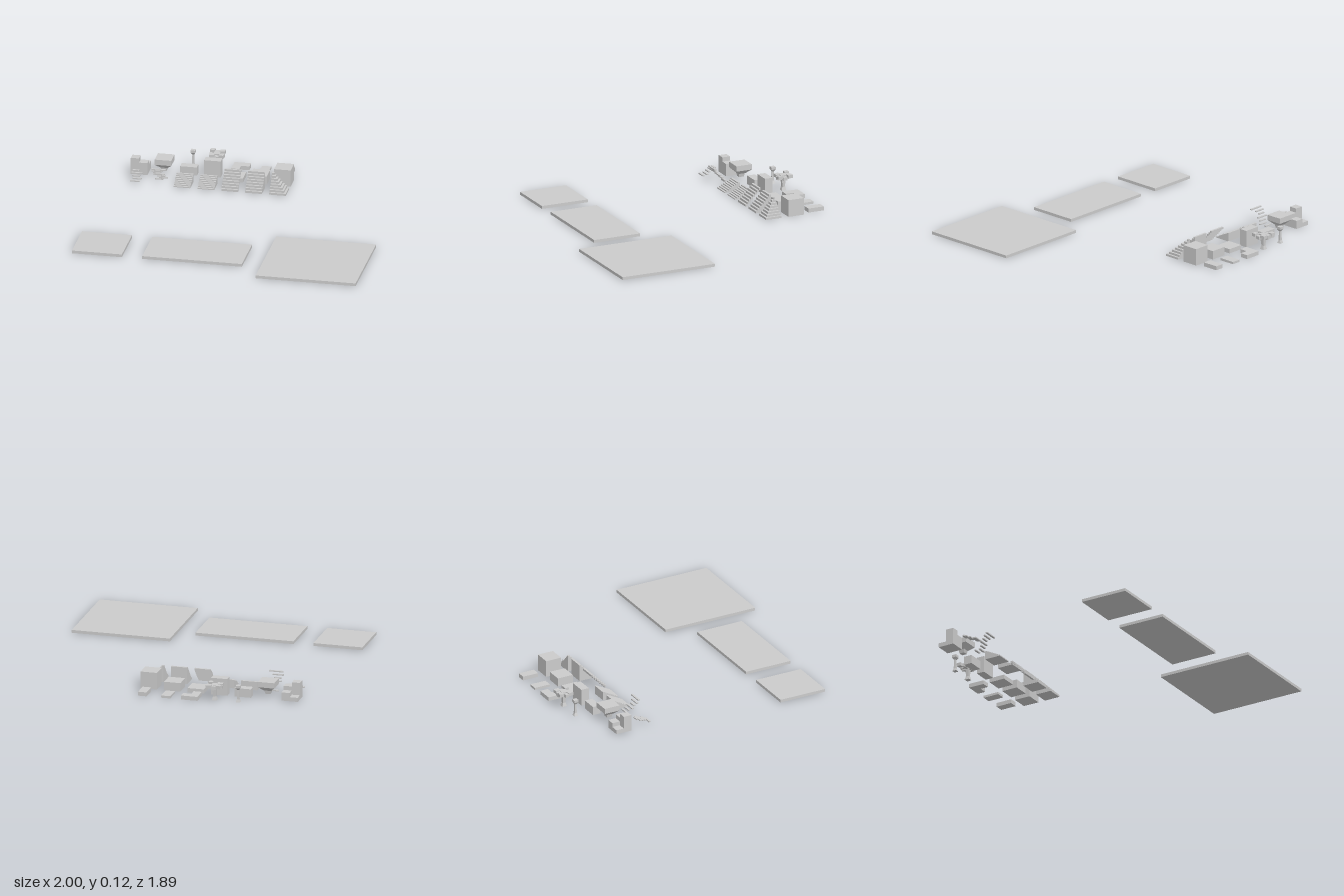
import * as THREE from 'three';

const U = 0.115;           // tile size
const H = U / 2;
const COL = i => -0.83 + 0.165 * i;
const ROW = { front: -0.558, middle: -0.725, back: -0.888 };

export function createModel() {
  const model = new THREE.Group();
  const mat = new THREE.MeshStandardMaterial({ color: 0xcccccc, flatShading: true });

  // named group standing at a tile centre
  function tile(name, x, z) {
    const g = new THREE.Group();
    g.name = name;
    g.position.set(x, 0, z);
    model.add(g);
    return g;
  }
  function add(g, name, geo) {
    const m = new THREE.Mesh(geo, mat);
    m.name = name;
    g.add(m);
    return m;
  }
  // box from its lower and upper corners
  function box(g, name, x0, x1, y0, y1, z0, z1) {
    const m = add(g, name, new THREE.BoxGeometry(x1 - x0, y1 - y0, z1 - z0));
    m.position.set((x0 + x1) / 2, (y0 + y1) / 2, (z0 + z1) / 2);
    return m;
  }
  // square frustum
  function frustum(g, name, wTop, wBottom, y0, y1) {
    const geo = new THREE.CylinderGeometry(wTop * Math.SQRT1_2, wBottom * Math.SQRT1_2, y1 - y0, 4);
    geo.rotateY(Math.PI / 4);
    add(g, name, geo).position.y = (y0 + y1) / 2;
  }

  // floor slabs
  const slabs = [
    ['smallFloor', -1, -0.655, 0.422, 0.766],
    ['longFloor', -0.515, 0.174, 0.422, 0.766],
    ['largeFloor', 0.306, 0.996, 0.25, 0.942],
  ];
  for (const [name, x0, x1, z0, z1] of slabs) {
    box(tile(name, 0, 0), name, x0, x1, 0, 0.02, z0, z1);
  }

  // straight stairs climbing to the back, extruded from a stepped profile
  function stairs(name, x, height, steps, open) {
    const d = U / steps, h = height / steps;
    const s = new THREE.Shape();
    s.moveTo(-H, 0);
    for (let i = 0; i < steps; i++) {
      s.lineTo(-H + i * d, (i + 1) * h);
      s.lineTo(-H + (i + 1) * d, (i + 1) * h);
    }
    if (open) {
      for (let i = steps - 1; i > 0; i--) {
        s.lineTo(-H + (i + 1) * d, i * h);
        s.lineTo(-H + i * d, i * h);
      }
      s.lineTo(-H + d, 0);
    } else s.lineTo(H, 0);
    const geo = new THREE.ExtrudeGeometry(s, { depth: U, bevelEnabled: false });
    geo.translate(0, 0, -H).rotateY(Math.PI / 2);
    add(tile(name, x, ROW.front), 'steps', geo);
  }
  stairs('lowStairs', COL(2), 0.06, 8, false);
  stairs('lowStairsPair', COL(3), 0.06, 8, false);
  stairs('openStairs', COL(4), 0.118, 8, true);
  stairs('solidStairs', COL(5), 0.118, 8, false);

  // outer corner stairs, tallest at the back right corner
  const corner = tile('cornerStairs', COL(6), ROW.front);
  for (let i = 0; i < 8; i++) {
    const w = U * (1 - i / 8), h = 0.118 / 8;
    box(corner, 'cornerStep', -H, -H + w, i * h, (i + 1) * h, -H, -H + w);
  }

  // loose plank stairs: [left, right] edge of each plank, back to front
  function planks(name, x, spans, y0, y1) {
    const g = tile(name, x, ROW.front);
    spans.forEach(([a, b], i) => {
      const t = i / (spans.length - 1);
      const z = -0.047 + 0.094 * t, y = y0 + (y1 - y0) * t;
      box(g, 'plank', a, b, y, y + 0.008, z - 0.007, z + 0.007);
    });
  }
  planks('lowPlankStairs', COL(0),
    [[-0.03, 0.015], [-0.035, 0.04], [-0.025, 0.03], [-0.015, 0.045], [-0.03, 0.035]], 0.052, 0.014);
  planks('plankStairs', COL(1),
    [[-0.04, 0.015], [-0.01, 0.05], [-0.02, 0.035], [-0.045, 0.035], [-0.04, 0.01], [-0.05, 0.025], [-0.045, 0.055]],
    0.004, 0.11);

  // winding stair of four quarter blocks
  const winding = tile('windingStairs', COL(0), ROW.middle);
  [[-1, 1, 0.117], [1, 1, 0.087], [1, -1, 0.058], [-1, -1, 0.029]].forEach(([sx, sz, h]) => {
    box(winding, 'quarterStep', Math.min(0, sx * H), Math.max(0, sx * H), 0, h, Math.min(0, sz * H), Math.max(0, sz * H));
  });

  // hopper with tapered underside
  const hopper = tile('hopper', COL(1), ROW.middle);
  frustum(hopper, 'rim', U, U, 0.08, 0.118);
  frustum(hopper, 'taper', U, 0.05, 0.05, 0.08);
  frustum(hopper, 'spout', 0.045, 0.035, 0.025, 0.05);

  // plain blocks: [name, column, height, back-to-front extent]
  [['quarterBlock', 2, 0.06, 0], ['wallBlock', 3, 0.118, 0], ['thinBlock', 4, 0.03, H],
    ['halfBlock', 5, 0.06, H], ['fullBlock', 6, 0.118, H]].forEach(([name, i, h, front]) => {
    box(tile(name, COL(i), ROW.middle), name, -H, H, 0, h, -H, front);
  });

  // low L-shaped kerb and two strips
  const L = new THREE.Shape([[-H, -H], [0, -H], [0, 0], [H, 0], [H, H], [-H, H]]
    .map(p => new THREE.Vector2(...p)));
  const kerb = new THREE.ExtrudeGeometry(L, { depth: 0.028, bevelEnabled: false });
  kerb.rotateX(-Math.PI / 2);
  add(tile('cornerKerb', COL(4), ROW.back), 'kerb', kerb);
  box(tile('thinStrip', COL(5), ROW.back), 'strip', -0.032, 0.032, 0, 0.016, -H, H);
  box(tile('thickStrip', COL(6), ROW.back), 'strip', -0.03, 0.03, 0, 0.028, -H, H);

  // torch with a flared head
  const torch = tile('torch', COL(2), ROW.back);
  frustum(torch, 'foot', 0.016, 0.03, 0, 0.02);
  frustum(torch, 'post', 0.012, 0.016, 0.02, 0.085);
  frustum(torch, 'cup', 0.032, 0.012, 0.085, 0.1);
  frustum(torch, 'head', 0.032, 0.032, 0.1, 0.118);

  // blocky tree: trunk, branches and leaf clumps
  const tree = tile('tree', COL(3), ROW.back);
  frustum(tree, 'root', 0.022, 0.034, 0, 0.025);
  frustum(tree, 'trunk', 0.026, 0.02, 0.025, 0.085);
  box(tree, 'branch', -0.045, 0.045, 0.08, 0.092, -0.008, 0.008);
  box(tree, 'branch', -0.008, 0.008, 0.076, 0.09, -0.045, 0.045);
  [[-0.038, 0.107, -0.04, 0.032], [0.032, 0.104, -0.034, 0.036], [-0.03, 0.1, 0.03, 0.038],
    [0.038, 0.104, 0.04, 0.03], [0, 0.1, 0, 0.044], [-0.04, 0.094, 0, 0.026],
    [0.036, 0.092, 0.004, 0.03], [0.004, 0.09, 0.034, 0.03], [-0.004, 0.098, -0.034, 0.034]]
    .forEach(([x, y, z, s], i) => {
      const leaf = add(tree, 'leafClump', new THREE.BoxGeometry(s, 0.022, s));
      leaf.position.set(x, y, z);
      leaf.rotation.y = (i % 3 - 1) * 0.12;
    });

  return model;
}
